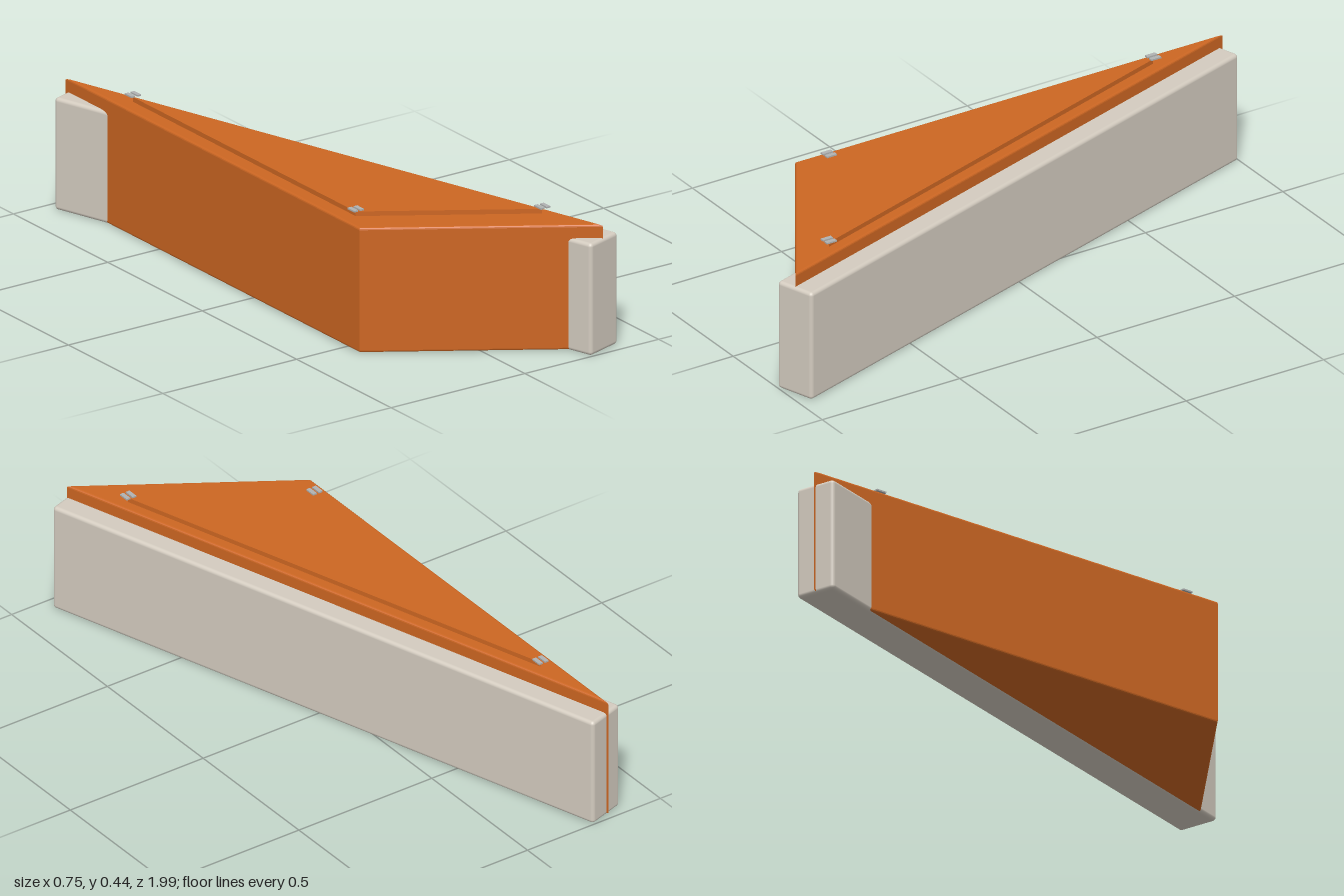
import * as THREE from 'three';
import { RoundedBoxGeometry } from 'three/addons/geometries/RoundedBoxGeometry.js';

const HEIGHT = 0.41;

// Triangular prism; profile is a list of [inset, y] from bottom to top.
// Insetting a triangle evenly is the same as scaling it about its incentre.
function triPrism(corners, profile) {
  const pts = corners.map(([x, z]) => new THREE.Vector2(x, z));
  const [a, b, c] = pts;
  const la = b.distanceTo(c), lb = c.distanceTo(a), lc = a.distanceTo(b);
  const perimeter = la + lb + lc;
  const centre = new THREE.Vector2()
    .addScaledVector(a, la).addScaledVector(b, lb).addScaledVector(c, lc)
    .divideScalar(perimeter);
  const area = Math.abs(b.clone().sub(a).cross(c.clone().sub(a))) / 2;
  const inradius = (2 * area) / perimeter;

  const rings = profile.map(([inset, y]) => pts.map((p) => {
    const q = p.clone().sub(centre).multiplyScalar(1 - inset / inradius).add(centre);
    return [q.x, y, q.y];
  }));

  const out = [];
  const tri = (...v) => v.forEach((p) => out.push(...p));
  for (let r = 0; r < rings.length - 1; r++) {
    const lo = rings[r], hi = rings[r + 1];
    for (let i = 0; i < 3; i++) {
      const j = (i + 1) % 3;
      tri(lo[i], lo[j], hi[j]);
      tri(lo[i], hi[j], hi[i]);
    }
  }
  const bottom = rings[0], top = rings[rings.length - 1];
  tri(top[0], top[1], top[2]);
  tri(bottom[2], bottom[1], bottom[0]);

  const geo = new THREE.BufferGeometry();
  geo.setAttribute('position', new THREE.Float32BufferAttribute(out, 3));
  geo.computeVertexNormals();
  return geo;
}

// Rounded edge steps for the prism profile
function roundedProfile(y0, y1, r, steps = 3) {
  const low = [], high = [];
  for (let i = 0; i <= steps; i++) {
    const t = (i / steps) * Math.PI / 2;
    low.push([r * (1 - Math.sin(t)), y0 + r * (1 - Math.cos(t))]);
    high.push([r * (1 - Math.cos(t)), y1 - r * (1 - Math.sin(t))]);
  }
  return [...low, ...high];
}

export function createModel() {
  const model = new THREE.Group();
  model.name = 'wedgeBlock';

  const orange = new THREE.MeshStandardMaterial({ color: 0xcc6622 });
  orange.name = 'orange';
  const stone = new THREE.MeshStandardMaterial({ color: 0xd3cbbf });
  stone.name = 'warm grey';
  const metal = new THREE.MeshStandardMaterial({ color: 0xb0b2b2 });
  metal.name = 'metal grey';

  const add = (name, geo, mat, parent = model) => {
    const mesh = new THREE.Mesh(geo, mat);
    mesh.name = name;
    parent.add(mesh);
    return mesh;
  };

  // Long slanted wall
  const wall = add('wall', new RoundedBoxGeometry(0.136, 0.367, 2.056, 3, 0.012), stone);
  wall.position.y = 0.367 / 2;
  wall.rotation.y = Math.atan2(0.625, 1.96);

  // Triangular body
  const body = [[-0.315, -0.985], [-0.315, 0.57], [0.31, 0.975]];
  add('body', triPrism(body, roundedProfile(0.002, HEIGHT, 0.007)), orange);

  // Raised lid panel
  const lid = [[-0.265, -0.7], [-0.265, 0.48], [0.213, 0.79]];
  add('lidPanel', triPrism(lid, [[0, HEIGHT - 0.005], [0, 0.425]]), orange);

  // Pair of small clips over each lid corner
  const clipGeo = new THREE.BoxGeometry(0.014, 0.005, 0.036);
  lid.forEach(([x, z], i) => {
    const pair = new THREE.Group();
    pair.name = `clipPair${i + 1}`;
    pair.position.set(x, 0.4335, z);
    for (const side of [-1, 1]) {
      add('clip', clipGeo, metal, pair).position.x = side * 0.011;
    }
    model.add(pair);
  });

  return model;
}
